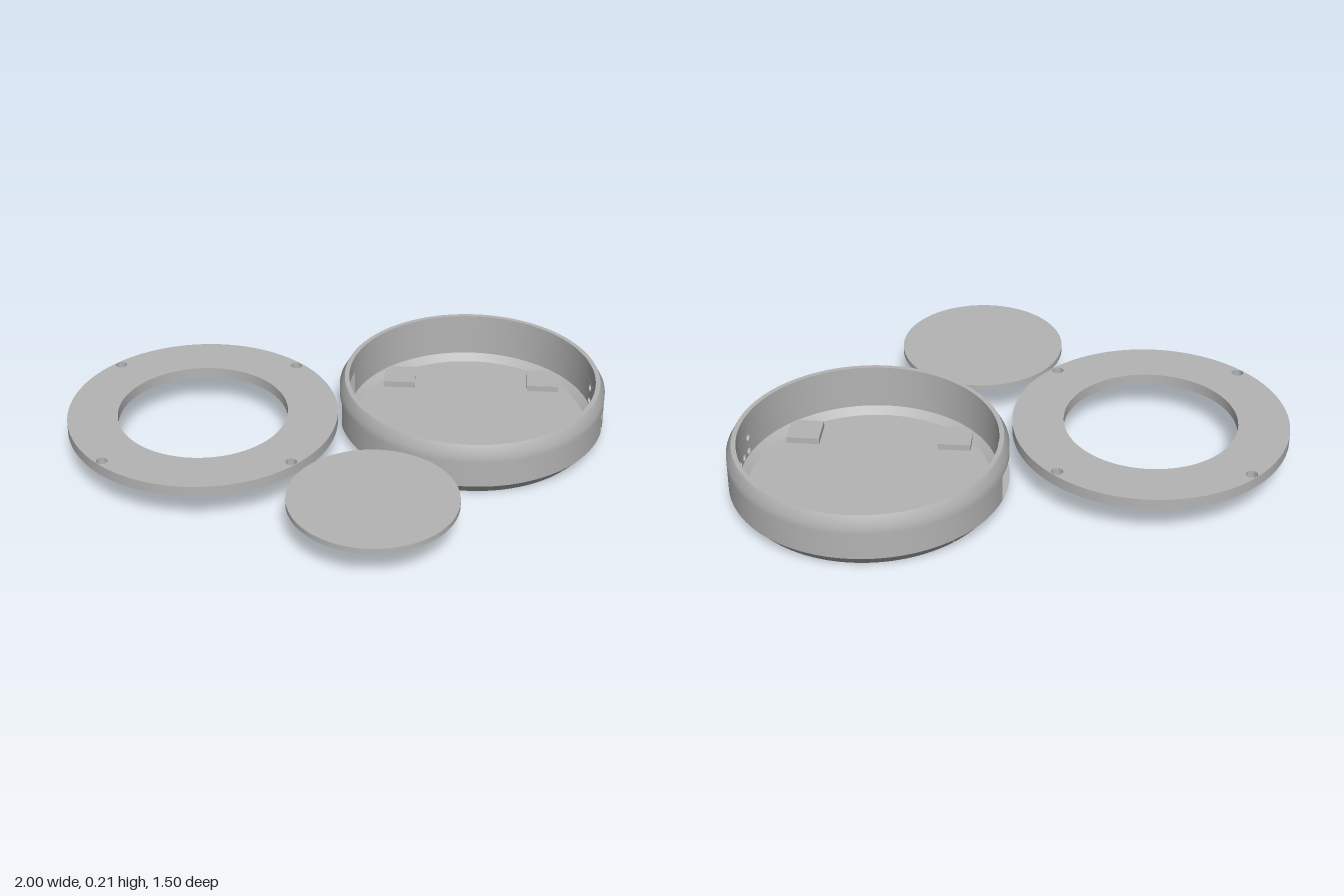
import * as THREE from 'three';
import { toCreasedNormals } from 'three/addons/utils/BufferGeometryUtils.js';

const OUT = 0.496, IN = 0.46;          // cup wall radii
const SILL = 0.045, HEAD = 0.145;      // band of the wall that holds the openings
const PITCH = 0.052;                   // spacing of the vent holes
const VENT = 2.5 * PITCH / OUT;        // half angle of the vent sector
const WINDOW = 0.245;                  // half angle of the window

const grey = new THREE.MeshStandardMaterial({ color: 0xb4b4b4, side: THREE.DoubleSide });
grey.name = 'grey plastic';

function add(parent, name, geometry, x = 0, y = 0, z = 0) {
  const mesh = new THREE.Mesh(geometry, grey);
  mesh.name = name;
  mesh.position.set(x, y, z);
  parent.add(mesh);
  return mesh;
}

function lathe(points, segments = 128, start = 0, length = Math.PI * 2) {
  const profile = points.map(([r, y]) => new THREE.Vector2(r, y));
  return toCreasedNormals(new THREE.LatheGeometry(profile, segments, start, length), 0.55);
}

function circle(path, x, y, r) {
  path.absarc(x, y, r, 0, Math.PI * 2);
  return path;
}

// One cell of the wall with round holes, bent round the cup axis
function ventCell(offset, holeHeights) {
  const h = PITCH / 2;
  const shape = new THREE.Shape([[-h, SILL], [h, SILL], [h, HEAD], [-h, HEAD]]
    .map(([x, y]) => new THREE.Vector2(x, y)));
  for (const y of holeHeights) shape.holes.push(circle(new THREE.Path(), 0, y, 0.0145));
  const geo = new THREE.ExtrudeGeometry(shape, { depth: OUT - IN, bevelEnabled: false, curveSegments: 10 });
  const p = geo.attributes.position, n = geo.attributes.normal;
  for (let i = 0; i < p.count; i++) {
    const a = Math.PI / 2 + (p.getX(i) + offset) / OUT, r = IN + p.getZ(i);
    const s = Math.sin(a), c = Math.cos(a), nx = n.getX(i), nz = n.getZ(i);
    p.setXYZ(i, r * s, p.getY(i), r * c);
    n.setXYZ(i, nx * c + nz * s, n.getY(i), -nx * s + nz * c);
  }
  return geo;
}

function createCup() {
  const cup = new THREE.Group();
  cup.name = 'cup';

  // Chamfered floor and chamfered rim
  add(cup, 'cupBase', lathe([[0, 0], [0.457, 0], [OUT, SILL], [IN, SILL], [0.433, 0.02], [0, 0.02]]));
  add(cup, 'cupRim', lathe([[OUT, HEAD], [OUT, 0.175], [0.477, 0.21], [IN, 0.21], [IN, HEAD], [OUT, HEAD]]));

  // Wall arcs between the vents (+x) and the window (-x)
  const band = [[OUT, SILL], [OUT, HEAD], [IN, HEAD], [IN, SILL]];
  const span = Math.PI - VENT - WINDOW;
  add(cup, 'backWall', lathe(band, 56, Math.PI / 2 + VENT, span));
  add(cup, 'frontWall', lathe(band, 56, Math.PI * 1.5 + WINDOW, span));

  // Vent holes: a row of five with one more above each end
  for (let i = -2; i <= 2; i++) {
    add(cup, 'ventWall', ventCell(i * PITCH, Math.abs(i) === 2 ? [0.062, 0.118] : [0.062]));
  }

  // Window jambs
  for (const side of [-1, 1]) {
    const a = Math.PI * 1.5 + side * WINDOW, r = (OUT + IN) / 2;
    const jamb = add(cup, 'windowJamb', new THREE.PlaneGeometry(OUT - IN, HEAD - SILL),
      r * Math.sin(a), (SILL + HEAD) / 2, r * Math.cos(a));
    jamb.rotation.y = a - Math.PI / 2;
  }

  // Four square pads on the floor
  for (const x of [-0.278, 0.278]) {
    for (const z of [-0.278, 0.278]) {
      add(cup, 'floorPad', new THREE.BoxGeometry(0.12, 0.025, 0.12), x, 0.0305, z);
    }
  }
  return cup;
}

// Flat ring with four screw holes near its edge
function ringGeometry() {
  const shape = circle(new THREE.Shape(), 0, 0, 0.496);
  shape.holes.push(circle(new THREE.Path(), 0, 0, 0.312));
  for (let i = 0; i < 4; i++) {
    const a = THREE.MathUtils.degToRad(49.1 + 90 * i);
    shape.holes.push(circle(new THREE.Path(), 0.473 * Math.cos(a), 0.473 * Math.sin(a), 0.021));
  }
  const geo = new THREE.ExtrudeGeometry(shape, { depth: 0.04, bevelEnabled: false, curveSegments: 64 });
  return toCreasedNormals(geo.rotateX(Math.PI / 2), 0.55);
}

export function createModel() {
  const model = new THREE.Group();
  model.name = 'enclosure';

  const cup = createCup();
  cup.position.set(0.504, 0, -0.255);
  cup.rotation.y = -0.125;
  model.add(cup);

  add(model, 'coverRing', ringGeometry(), -0.504, 0.168, -0.135);
  add(model, 'coverDisc', new THREE.CylinderGeometry(0.302, 0.302, 0.02, 96), 0.078, 0.148, 0.447);
  return model;
}
